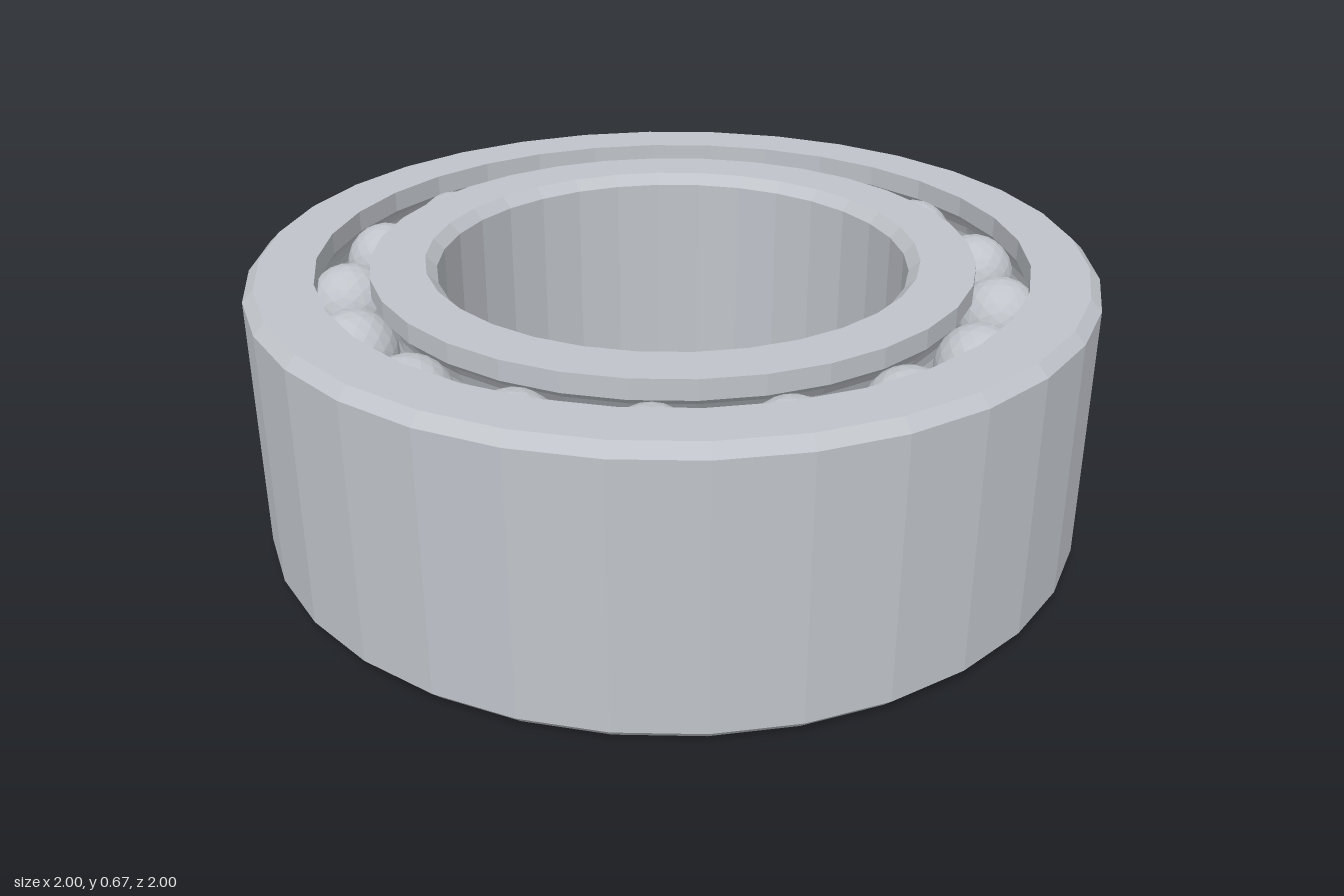
import * as THREE from 'three';

const HEIGHT = 0.67;
const CHAMFER = 0.026;
const SIDES = 32;
const PITCH = 0.775;        // radius of the circle the balls run on
const BALL_RADIUS = 0.1;
const GROOVE_RADIUS = 0.102;
const BALLS = 17;
const ROWS = [0.13, HEIGHT - 0.13];

// Arc of a ball groove in the (radius, height) profile
function groove(rowY, from, to, steps = 8) {
  const pts = [];
  for (let i = 0; i <= steps; i++) {
    const a = from + (to - from) * i / steps;
    pts.push([PITCH + GROOVE_RADIUS * Math.cos(a), rowY + GROOVE_RADIUS * Math.sin(a)]);
  }
  return pts;
}

// Closed profile turned into a faceted ring
function ring(name, profile, material) {
  const pts = [...profile, profile[0]].map(([r, y]) => new THREE.Vector2(r, y));
  const mesh = new THREE.Mesh(new THREE.LatheGeometry(pts, SIDES), material);
  mesh.name = name;
  return mesh;
}

export function createModel() {
  const group = new THREE.Group();
  group.name = 'ballBearing';
  const steel = new THREE.MeshStandardMaterial({ color: 0xc0c4ca, flatShading: true });
  steel.name = 'steel';

  // Outer ring: chamfered outside, two grooves inside
  const outerLip = 0.84;
  const a = Math.acos((outerLip - PITCH) / GROOVE_RADIUS);
  group.add(ring('outerRing', [
    [outerLip, 0], [1 - CHAMFER, 0], [1, CHAMFER],
    [1, HEIGHT - CHAMFER], [1 - CHAMFER, HEIGHT], [outerLip, HEIGHT],
    ...groove(ROWS[1], a, -a), ...groove(ROWS[0], a, -a),
  ], steel));

  // Inner ring: two grooves outside, chamfered bore
  const innerLip = 0.715, bore = 0.56;
  const b = Math.acos((PITCH - innerLip) / GROOVE_RADIUS);
  group.add(ring('innerRing', [
    [bore + CHAMFER, 0], [innerLip, 0],
    ...groove(ROWS[0], Math.PI + b, Math.PI - b),
    ...groove(ROWS[1], Math.PI + b, Math.PI - b),
    [innerLip, HEIGHT], [bore + CHAMFER, HEIGHT],
    [bore, HEIGHT - CHAMFER], [bore, CHAMFER],
  ], steel));

  // Two rows of balls
  const ballGeometry = new THREE.IcosahedronGeometry(BALL_RADIUS, 3);
  ROWS.forEach((y, row) => {
    const balls = new THREE.Group();
    balls.name = row === 0 ? 'lowerBalls' : 'upperBalls';
    for (let i = 0; i < BALLS; i++) {
      const t = i / BALLS * Math.PI * 2;
      const ball = new THREE.Mesh(ballGeometry, steel);
      ball.name = 'ball';
      ball.position.set(PITCH * Math.cos(t), y, PITCH * Math.sin(t));
      ball.rotation.y = -t;
      balls.add(ball);
    }
    group.add(balls);
  });

  return group;
}
